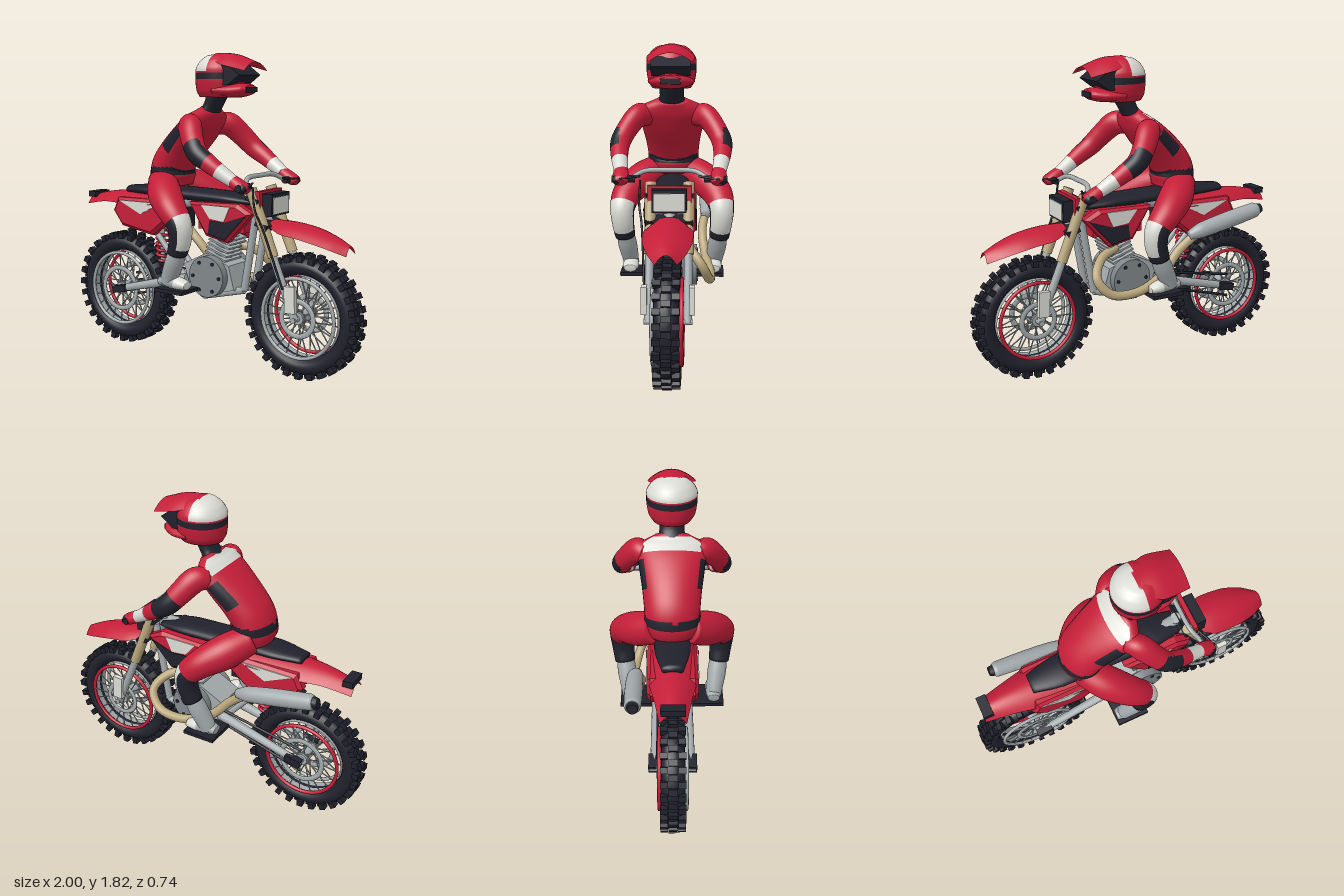
import * as THREE from 'three';
import { mergeGeometries } from 'three/addons/utils/BufferGeometryUtils.js';

const V = (x, y, z = 0) => new THREE.Vector3(x, y, z);
const mat = (name, color, side = THREE.FrontSide) => {
  const m = new THREE.MeshStandardMaterial({ color, side });
  m.name = name;
  return m;
};

export function createModel() {
  const group = new THREE.Group();
  const red = mat('red', 0xc41e38, THREE.DoubleSide), black = mat('black', 0x20212c);
  const white = mat('white', 0xdcdcd6), grey = mat('grey', 0xa3aaac, THREE.DoubleSide);
  const steel = mat('engine grey', 0x80878a), tan = mat('tan', 0xb9a67c);
  const palette = [red, black, white, grey];

  const add = (name, geo, m) => {
    const mesh = new THREE.Mesh(Array.isArray(geo) ? mergeGeometries(geo) : geo, m);
    mesh.name = name;
    group.add(mesh);
    return mesh;
  };
  const box = (x, y, z, w, h, d, rot = 0) => new THREE.BoxGeometry(w, h, d).rotateZ(rot).translate(x, y, z);
  const disc = (x, y, z, r, d, n = 32) => new THREE.CylinderGeometry(r, r, d, n).rotateX(Math.PI / 2).translate(x, y, z);
  const rod = (a, b, r0, r1 = r0, n = 12) => {
    const d = b.clone().sub(a), q = new THREE.Quaternion().setFromUnitVectors(V(0, 1, 0), d.clone().normalize());
    return new THREE.CylinderGeometry(r1, r0, d.length(), n).applyQuaternion(q).translate((a.x + b.x) / 2, (a.y + b.y) / 2, (a.z + b.z) / 2);
  };
  const tube = (pts, r, n = 48) => new THREE.TubeGeometry(new THREE.CatmullRomCurve3(pts.map(p => V(...p))), n, r, 12);
  // flat panel standing on the side s of the bike
  const panel = (pts, s, z, depth, bevel = 0) => new THREE.ExtrudeGeometry(new THREE.Shape(pts.map(p => new THREE.Vector2(...p))), {
    depth, bevelEnabled: bevel > 0, bevelSize: bevel, bevelThickness: bevel, bevelOffset: -bevel, bevelSegments: 1 }).translate(0, 0, s > 0 ? z : -z - depth);

  // smooth body through oval sections [x, y, z, radius in xy, radius in z], painted by rule
  const loft = (name, sections, paint, s = 1) => {
    const path = new THREE.CatmullRomCurve3(sections.map(p => V(p[0], p[1], p[2] * s)));
    const size = new THREE.CatmullRomCurve3(sections.map(p => V(p[3], p[4])));
    const rows = 40, cols = 32, pos = [], index = [], geo = new THREE.BufferGeometry();
    const byColour = palette.map(() => []);
    for (let i = -1; i <= rows + 1; i++) {
      const u = Math.min(Math.max(i / rows, 0), 1), k = i < 0 || i > rows ? 0 : 1;
      const c = path.getPoint(u), r = size.getPoint(u), T = path.getTangent(u);
      const S = V(0, 0, 1).addScaledVector(T, -T.z).normalize(), B = T.clone().cross(S);
      for (let j = 0; j < cols; j++) {
        const a = j / cols * Math.PI * 2;
        const p = c.clone().addScaledVector(B, k * r.x * Math.cos(a)).addScaledVector(S, k * r.y * Math.sin(a));
        pos.push(p.x, p.y, p.z);
      }
    }
    for (let i = 0; i < rows + 2; i++) for (let j = 0; j < cols; j++) {
      const a = i * cols + j, c = i * cols + (j + 1) % cols, b = a + cols, d = c + cols, v = (j + 0.5) / cols;
      const mid = V((pos[a * 3] + pos[d * 3]) / 2, (pos[a * 3 + 1] + pos[d * 3 + 1]) / 2, (pos[a * 3 + 2] + pos[d * 3 + 2]) / 2);
      byColour[paint((i - 0.5) / rows, s > 0 ? v : 1 - v, mid)].push(a, b, c, b, d, c);
    }
    byColour.forEach((list, m) => {
      if (list.length) geo.addGroup(index.length, list.length, m);
      for (const n of list) index.push(n);
    });
    geo.setAttribute('position', new THREE.Float32BufferAttribute(pos, 3));
    geo.setIndex(index);
    geo.computeVertexNormals();
    return add(name, geo, palette);
  };
  // arched sheet from rows [x, y, half width, edge drop]
  const sheet = (name, rows) => {
    const a = new THREE.CatmullRomCurve3(rows.map(r => V(r[0], r[1]))), b = new THREE.CatmullRomCurve3(rows.map(r => V(r[2], r[3])));
    const geo = new THREE.PlaneGeometry(1, 1, 24, 12), p = geo.attributes.position;
    for (let i = 0; i < p.count; i++) {
      const u = p.getX(i) + 0.5, t = p.getY(i) * 2, c = a.getPoint(u), w = b.getPoint(u);
      p.setXYZ(i, c.x, c.y - w.y * t * t, -w.x * t);
    }
    geo.computeVertexNormals();
    add(name, geo, red);
  };

  // wheels
  const wheel = (name, cx, discR) => {
    const cy = 0.355, knobs = [], spokes = [];
    add(name + 'Tyre', new THREE.TorusGeometry(0.286, 0.052, 16, 64).scale(1, 1, 1.25).translate(cx, cy, 0), black);
    const n = 28;
    for (let i = 0; i < n; i++) {
      const a = i / n * Math.PI * 2;
      for (const [z, w, o, r] of [[-0.049, 0.042, 0, 0.333], [0.049, 0.042, 0, 0.333], [0, 0.05, Math.PI / n, 0.338]])
        knobs.push(new THREE.BoxGeometry(0.034, 0.036, w).translate(0, r, z).rotateZ(a + o).translate(cx, cy, 0));
    }
    add(name + 'Knobs', knobs, black);
    add(name + 'Rim', new THREE.CylinderGeometry(0.236, 0.236, 0.1, 48, 1, true).rotateX(Math.PI / 2).translate(cx, cy, 0), grey);
    for (const s of [1, -1]) {
      add(name + 'RimRing', new THREE.TorusGeometry(0.226, 0.011, 8, 48).translate(cx, cy, s * 0.075), s > 0 ? grey : red);
      for (let i = 0; i < 20; i++) {
        const a = i / 20 * Math.PI * 2, b = a + (i % 2 ? 0.35 : -0.35);
        spokes.push(rod(V(cx + 0.035 * Math.cos(b), cy + 0.035 * Math.sin(b), s * 0.06), V(cx + 0.226 * Math.cos(a), cy + 0.226 * Math.sin(a), s * 0.075), 0.004, 0.004, 5));
      }
      add(name + 'BrakeDisc', new THREE.TorusGeometry(discR, 0.016, 8, 40).scale(1, 1, 0.4).translate(cx, cy, s * 0.078), grey);
    }
    add(name + 'Spokes', spokes, grey);
    add(name + 'Hub', [disc(cx, cy, 0, 0.035, 0.15), disc(cx, cy, 0, 0.016, 0.26)], grey);
  };
  wheel('rearWheel', -0.645, 0.13);
  wheel('frontWheel', 0.645, 0.1);

  // frame, swingarm, fork and side bodywork, mirrored
  const shroud = [[-0.06, 0.96], [0.28, 0.97], [0.375, 0.92], [0.21, 0.74], [0.06, 0.77]];
  const tail = [[-0.61, 0.945], [-0.65, 0.86], [-0.58, 0.77], [-0.34, 0.73], [-0.18, 0.86], [-0.26, 0.95]];
  for (const s of [1, -1]) {
    const P = [[0.37, 0.97], [0.285, 0.465], [0, 0.395], [-0.13, 0.48], [-0.36, 0.74], [-0.56, 0.9]];
    add('frameTubes', P.slice(1).map((p, i) => rod(V(...P[i], s * 0.06), V(...p, s * 0.06), i < 2 ? 0.022 : 0.018)), grey);
    add('swingarm', [rod(V(-0.64, 0.355, s * 0.105), V(-0.1, 0.49, s * 0.09), 0.022, 0.03)], grey);
    add('axleBlock', box(-0.61, 0.363, s * 0.115, 0.1, 0.045, 0.045, 0.2), black);
    add('forkUpper', rod(V(0.355, 1.06, s * 0.105), V(0.505, 0.69, s * 0.105), 0.032, 0.03, 20), tan);
    add('forkLower', rod(V(0.5, 0.7, s * 0.105), V(0.645, 0.35, s * 0.105), 0.023, 0.023, 16), grey);
    add('forkGuard', box(0.63, 0.47, s * 0.128, 0.065, 0.15, 0.03, 0.04), white);
    add('tankShroud', panel(shroud, s, 0.085, 0.04, 0.02), red);
    add('shroudWhite', panel([[0.04, 0.952], [0.24, 0.952], [0.2, 0.865], [0.1, 0.875]], s, 0.143, 0.006), white);
    add('shroudBlack', panel([[0.1, 0.865], [0.2, 0.86], [0.345, 0.91], [0.205, 0.76], [0.09, 0.785]], s, 0.143, 0.006), black);
    add('sidePanel', panel(tail, s, 0.08, 0.04, 0.02), red);
    add('sidePanelWhite', panel([[-0.59, 0.93], [-0.27, 0.932], [-0.42, 0.855]], s, 0.138, 0.006), white);
    add('footpeg', box(-0.08, 0.452, s * 0.21, 0.2, 0.022, 0.2), black);
    add('grip', rod(V(0.395, 1.085, s * 0.19), V(0.405, 1.085, s * 0.315), 0.02), black);
    add('lever', rod(V(0.4, 1.1, s * 0.16), V(0.445, 1.09, s * 0.27), 0.006), black);
  }
  add('backbone', [rod(V(0.37, 0.98), V(-0.35, 0.93), 0.04), rod(V(0.33, 1.02), V(0.42, 0.82), 0.035)], grey);
  add('forkClamps', [box(0.375, 1.0, 0, 0.08, 0.03, 0.26, -0.38), box(0.435, 0.86, 0, 0.08, 0.03, 0.26, -0.38)], black);
  add('tank', box(0.14, 0.88, 0, 0.32, 0.16, 0.18), red);
  add('airbox', box(-0.32, 0.86, 0, 0.3, 0.16, 0.16), black);
  add('chain', [rod(V(-0.645, 0.425, -0.085), V(-0.1, 0.53, -0.085), 0.008), rod(V(-0.645, 0.285, -0.085), V(-0.1, 0.44, -0.085), 0.008)], black);

  // seat, fenders, lights
  loft('seat', [[-0.6, 0.988, 0, 0.024, 0.06], [-0.4, 0.995, 0, 0.036, 0.1], [-0.1, 0.99, 0, 0.04, 0.1], [0.15, 0.985, 0, 0.038, 0.1], [0.33, 0.975, 0, 0.02, 0.07]], () => 1);
  sheet('rearFender', [[-0.915, 0.93, 0.07, 0.055], [-0.75, 0.965, 0.1, 0.06], [-0.6, 0.98, 0.13, 0.07], [-0.3, 0.99, 0.15, 0.07]]);
  sheet('frontFender', [[0.45, 0.885, 0.08, 0.03], [0.58, 0.882, 0.135, 0.06], [0.72, 0.86, 0.13, 0.06], [0.84, 0.82, 0.1, 0.055], [0.925, 0.78, 0.055, 0.05]]);
  add('tailLight', box(-0.885, 0.938, 0, 0.06, 0.035, 0.13), black);
  add('mudflap', box(-0.55, 0.75, 0, 0.09, 0.02, 0.12, 0.5), black);
  add('headlightBody', box(0.455, 0.975, 0, 0.06, 0.125, 0.19), black);
  add('headlightLens', box(0.487, 0.97, 0, 0.006, 0.095, 0.165), white);
  add('numberPlate', panel([[0.4, 0.9], [0.43, 0.9], [0.42, 1.05], [0.39, 1.05]], 1, -0.12, 0.24), red);

  // handlebar
  add('handlebar', tube([[0.4, 1.085, -0.3], [0.39, 1.085, -0.22], [0.355, 1.122, -0.14], [0.35, 1.128, 0], [0.355, 1.122, 0.14], [0.39, 1.085, 0.22], [0.4, 1.085, 0.3]], 0.014), grey);
  add('cable', tube([[0.4, 1.08, 0.16], [0.42, 0.95, 0.165], [0.46, 0.85, 0.15], [0.58, 0.52, 0.13]], 0.006), black);

  // engine
  add('crankcase', panel([[-0.08, 0.47], [0, 0.42], [0.24, 0.46], [0.2, 0.6], [0.04, 0.66], [-0.12, 0.58]], 1, -0.1, 0.2), grey);
  const bolts = [];
  for (const s of [1, -1]) {
    add('engineCover', disc(0.075, 0.53, s * 0.12, 0.12, 0.06), steel);
    for (let i = 0; i < 6; i++) bolts.push(disc(0.075 + 0.092 * Math.cos(i * 1.047), 0.53 + 0.092 * Math.sin(i * 1.047), s * 0.15, 0.011, 0.012, 10));
  }
  add('coverBolts', bolts, black);
  const fins = [rod(V(0.08, 0.6), V(0.14, 0.78), 0.06)];
  for (let i = 0; i < 6; i++) fins.push(box(0.095 + i * 0.009, 0.645 + i * 0.025, 0, 0.15, 0.011, 0.17, -0.32));
  add('cylinderFins', fins, grey);

  // exhaust on the far side
  add('exhaustPipe', tube([[0.14, 0.71, -0.06], [0.26, 0.67, -0.11], [0.32, 0.58, -0.18], [0.25, 0.49, -0.22], [0.08, 0.48, -0.23], [-0.1, 0.55, -0.2], [-0.22, 0.67, -0.18], [-0.34, 0.77, -0.2]], 0.027, 80), tan);
  loft('muffler', [[-0.28, 0.76, -0.2, 0.026, 0.026], [-0.36, 0.785, -0.21, 0.046, 0.046], [-0.55, 0.825, -0.212, 0.05, 0.05], [-0.74, 0.862, -0.212, 0.046, 0.046], [-0.76, 0.866, -0.212, 0.036, 0.036]], () => 3);
  add('mufflerTip', rod(V(-0.75, 0.864, -0.212), V(-0.785, 0.87, -0.212), 0.036, 0.028), black);

  // rear shock
  const coil = [];
  for (let i = 0; i <= 60; i++) coil.push([-0.36 + 0.036 * Math.cos(i * 0.628), 0.55 + i * 0.0033, 0.036 * Math.sin(i * 0.628)]);
  add('shockSpring', tube(coil, 0.009, 200), red);
  add('shockRod', rod(V(-0.36, 0.44), V(-0.36, 0.8), 0.016), grey);

  // rider body
  loft('torso', [[-0.27, 1.03, 0, 0.11, 0.14], [-0.275, 1.095, 0, 0.125, 0.155], [-0.265, 1.16, 0, 0.118, 0.155], [-0.2, 1.25, 0, 0.11, 0.165], [-0.1, 1.355, 0, 0.095, 0.185], [-0.02, 1.44, 0, 0.068, 0.195], [0.015, 1.495, 0, 0.045, 0.09]], (u, v, p) => {
    if (p.y > 1.1 && p.y < 1.15 && u < 0.4) return 1;
    if (u > 0.5 && u < 0.7 && Math.abs(Math.abs(v - 0.5) - 0.22) < 0.055) return 1;
    return u > 0.74 && u < 0.95 && Math.abs(v - 0.5) < 0.17 ? 2 : 0;
  });
  loft('neck', [[-0.01, 1.46, 0, 0.05, 0.085], [0.025, 1.52, 0, 0.048, 0.07], [0.06, 1.6, 0, 0.06, 0.075]], () => 1);

  // helmet with chin guard, goggles and peak
  loft('helmet', [[0.075, 1.565, 0, 0.125, 0.11], [0.075, 1.6, 0, 0.142, 0.132], [0.075, 1.66, 0, 0.147, 0.142], [0.075, 1.72, 0, 0.145, 0.143], [0.075, 1.77, 0, 0.118, 0.118], [0.075, 1.8, 0, 0.075, 0.08], [0.075, 1.812, 0, 0.02, 0.02]],
    (u, v, p) => p.y > 1.67 && p.y < 1.7 ? 1 : p.y > 1.71 && p.x < 0.07 ? 2 : 0);
  loft('chinGuard', [[0.1, 1.605, 0, 0.04, 0.135], [0.2, 1.603, 0, 0.04, 0.12], [0.265, 1.61, 0, 0.032, 0.085], [0.285, 1.613, 0, 0.02, 0.06]], () => 0);
  add('chinVent', box(0.285, 1.608, 0, 0.01, 0.03, 0.11), black);
  add('goggles', panel([[0.14, 1.635], [0.2, 1.635], [0.275, 1.69], [0.2, 1.745], [0.14, 1.745]], 1, -0.11, 0.22), black);
  sheet('helmetPeak', [[0.06, 1.815, 0.09, 0.03], [0.18, 1.808, 0.135, 0.065], [0.315, 1.762, 0.12, 0.05]]);

  // limbs
  for (const s of [1, -1]) {
    loft('arm', [[-0.045, 1.4, 0.14, 0.06, 0.06], [0, 1.4, 0.195, 0.072, 0.065], [0.06, 1.33, 0.255, 0.066, 0.06], [0.12, 1.26, 0.29, 0.06, 0.058], [0.21, 1.2, 0.29, 0.05, 0.05], [0.3, 1.143, 0.277, 0.04, 0.042], [0.36, 1.108, 0.268, 0.034, 0.038]],
      (u, v, p) => u > 0.76 ? 2 : u > 0.4 && u < 0.62 && Math.abs(p.z) > 0.295 ? 1 : 0, s);
    loft('glove', [[0.335, 1.123, 0.27, 0.034, 0.038], [0.38, 1.098, 0.268, 0.036, 0.045], [0.42, 1.078, 0.268, 0.032, 0.045], [0.435, 1.068, 0.268, 0.02, 0.035]], (u, v) => u > 0.55 && v > 0.1 && v < 0.4 ? 1 : 0, s);
    loft('leg', [[-0.29, 1.06, 0.08, 0.085, 0.09], [-0.19, 1.0, 0.19, 0.1, 0.1], [-0.08, 0.93, 0.27, 0.085, 0.09], [-0.005, 0.85, 0.295, 0.072, 0.073], [0, 0.77, 0.292, 0.066, 0.066], [-0.03, 0.68, 0.282, 0.058, 0.06]],
      (u, v, p) => u < 0.55 ? 0 : Math.abs(v - 0.5) < 0.19 && u < 0.9 ? 2 : 1, s);
    loft('bootShaft', [[-0.025, 0.7, 0.28, 0.05, 0.05], [-0.06, 0.62, 0.27, 0.056, 0.056], [-0.1, 0.54, 0.258, 0.052, 0.05], [-0.12, 0.49, 0.252, 0.05, 0.045]], () => 3, s);
    loft('bootFoot', [[-0.175, 0.497, 0.25, 0.025, 0.035], [-0.12, 0.502, 0.25, 0.04, 0.045], [-0.04, 0.496, 0.25, 0.036, 0.048], [0.02, 0.488, 0.25, 0.022, 0.036]], u => u > 0.6 ? 2 : 3, s);
  }
  return group;
}
